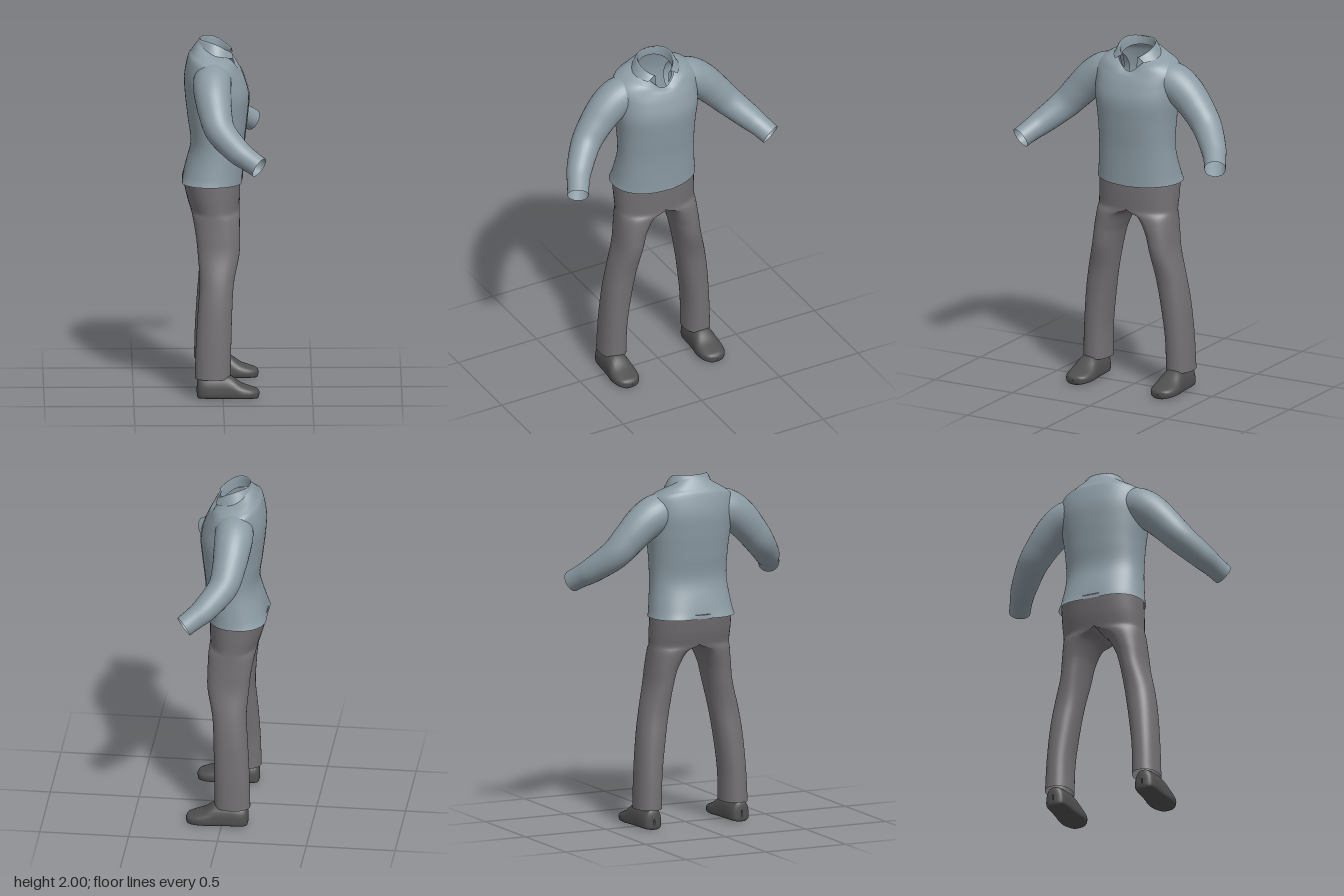
import * as THREE from 'three';
import { mergeVertices, mergeGeometries } from 'three/addons/utils/BufferGeometryUtils.js';

const V = (x, y, z) => new THREE.Vector3(x, y, z);

// Smoothly interpolates a table of cross-sections, t from 0 to 1
function sample(rows, t) {
  const f = t * (rows.length - 1);
  const i = Math.min(Math.floor(f), rows.length - 2);
  const s = f - i;
  const p = [rows[Math.max(i - 1, 0)], rows[i], rows[i + 1], rows[Math.min(i + 2, rows.length - 1)]];
  return rows[0].map((_, c) => {
    const [a, b, d, e] = p.map((r) => r[c]);
    return 0.5 * (2 * b + (d - a) * s + (2 * a - 5 * b + 4 * d - e) * s * s + (3 * b - a - 3 * d + e) * s * s * s);
  });
}

// Builds a smooth skin from a rule fn(u, v) -> point
function skin(nu, nv, fn, flip = false) {
  const pos = [], idx = [];
  for (let j = 0; j <= nv; j++) {
    for (let i = 0; i <= nu; i++) pos.push(...fn(i / nu, j / nv).toArray());
  }
  for (let j = 0; j < nv; j++) {
    for (let i = 0; i < nu; i++) {
      const a = j * (nu + 1) + i, b = a + 1, c = a + nu + 1, d = c + 1;
      if (flip) idx.push(a, c, b, b, c, d);
      else idx.push(a, b, c, b, d, c);
    }
  }
  const g = new THREE.BufferGeometry();
  g.setAttribute('position', new THREE.Float32BufferAttribute(pos, 3));
  g.setIndex(idx);
  return g;
}

function weld(g) {
  const m = mergeVertices(g, 1e-5);
  m.computeVertexNormals();
  return m;
}

// Rounded curve that is slightly squarer than a circle
const pow = (v, e) => Math.sign(v) * Math.pow(Math.abs(v), e);

// Shirt body rings: height, back x, front x, half width, front drop, neck notch
const TORSO = [
  [1.195, -0.25, 0.11, 0.25, 0, 0],
  [1.25, -0.225, 0.112, 0.24, 0, 0],
  [1.4, -0.18, 0.12, 0.225, 0, 0],
  [1.55, -0.195, 0.137, 0.23, 0, 0],
  [1.68, -0.21, 0.147, 0.245, 0, 0],
  [1.78, -0.215, 0.125, 0.25, 0.01, 0],
  [1.86, -0.195, 0.1, 0.245, 0.035, 0],
  [1.9, -0.175, 0.088, 0.2, 0.03, 0.035],
  [1.925, -0.15, 0.078, 0.14, 0.045, 0.04],
  [1.94, -0.125, 0.068, 0.1, 0.06, 0.035],
];

function torsoPoint(a, t, out = 0) {
  const [y, xb, xf, hz, drop, notch] = sample(TORSO, t);
  const c = Math.cos(a), s = Math.sin(a);
  const hem = Math.max(0, 1 - t * 6);
  const fold = 0.025 * hem * Math.pow(Math.max(0, -c), 10);
  return V(
    (xb + xf) / 2 + ((xf - xb) / 2 + out) * pow(c, 0.88) + fold,
    y - drop * c - notch * Math.pow(Math.max(0, c), 8) - 0.01 * hem * c * c * Math.max(0, c),
    (hz + out) * pow(s, 0.88),
  );
}

// Sleeve rings: x, y, z, radius
const SLEEVE = [
  [-0.05, 1.8, 0.13, 0.1],
  [-0.06, 1.785, 0.215, 0.108],
  [-0.057, 1.735, 0.295, 0.104],
  [-0.045, 1.655, 0.375, 0.094],
  [-0.015, 1.565, 0.455, 0.084],
  [0.075, 1.475, 0.545, 0.072],
  [0.14, 1.432, 0.588, 0.063],
  [0.2, 1.395, 0.622, 0.06],
];

function sleevePoint(u, t, side) {
  const e = 0.01;
  const p = sample(SLEEVE, t);
  const d0 = sample(SLEEVE, Math.max(0, t - e)), d1 = sample(SLEEVE, Math.min(1, t + e));
  const tan = V(d1[0] - d0[0], d1[1] - d0[1], d1[2] - d0[2]).normalize();
  const across = V().crossVectors(tan, V(0, 1, 0)).normalize();
  const up = V().crossVectors(across, tan);
  const a = u * Math.PI * 2;
  const q = V(p[0], p[1], p[2]).addScaledVector(across, p[3] * Math.cos(a)).addScaledVector(up, p[3] * Math.sin(a));
  q.z *= side;
  if (side < 0) q.x -= 0.025 * t * t;
  return q;
}

// Trouser rings: height, back x, front x, inner z, outer z, pelvis blend
const LEG = [
  [1.22, -0.225, 0.1, 0, 0.24, 1],
  [1.12, -0.205, 0.098, 0, 0.24, 1],
  [1.045, -0.183, 0.095, 0, 0.238, 1],
  [1.0, -0.168, 0.095, 0.045, 0.24, 0.25],
  [0.9, -0.15, 0.095, 0.085, 0.248, 0],
  [0.8, -0.14, 0.092, 0.11, 0.26, 0],
  [0.65, -0.13, 0.062, 0.137, 0.297, 0],
  [0.5, -0.14, 0.052, 0.162, 0.32, 0],
  [0.3, -0.152, 0.046, 0.188, 0.335, 0],
  [0.115, -0.157, 0.042, 0.192, 0.343, 0],
];

function legPoint(u, t, side) {
  const r = sample(LEG, Math.max(0, t));
  const k = THREE.MathUtils.clamp(r[5], 0, 1);
  const a = u * Math.PI * 2, c = pow(Math.cos(a), 0.9), s = pow(Math.sin(a), 0.9);
  const zin = Math.max(0, r[3]);
  const round = (zin + r[4]) / 2 + ((r[4] - zin) / 2) * s;
  const half = Math.max(0, s) * r[4];
  const x = (r[1] + r[2]) / 2 + ((r[2] - r[1]) / 2) * c;
  return V(x, r[0], side * THREE.MathUtils.lerp(round, half, k));
}

// Shoe sections: x, half width, top height
const SHOE = [
  [-0.147, 0.002, 0.07],
  [-0.138, 0.043, 0.115],
  [-0.1, 0.06, 0.128],
  [-0.02, 0.065, 0.138],
  [0.04, 0.07, 0.132],
  [0.1, 0.078, 0.09],
  [0.155, 0.071, 0.068],
  [0.192, 0.046, 0.055],
  [0.205, 0.002, 0.035],
];

function shoePoint(u, t) {
  const [x, hz, top] = sample(SHOE, t);
  const a = u * Math.PI * 2, s = Math.sin(a);
  const mid = 0.035;
  const y = s > 0 ? mid + (top - mid) * pow(s, 0.8) : mid + (mid - 0.003) * pow(s, 0.5) * Math.min(1, hz / 0.04);
  return V(x, y, Math.max(0, hz) * pow(Math.cos(a), 0.85));
}

// Folded collar: inner stand, top crease, then the leaf turned outwards
function collarPoint(u, v) {
  const t = u * 2 - 1;
  const ring = (span, rx, rz, y0, y1, y2) => {
    const a = Math.PI + t * span, c = Math.cos(a);
    return V(-0.035 + rx * c, y0 - y1 * c - y2 * c * c, rz * Math.sin(a));
  };
  const rows = [
    ring(2.75, 0.09, 0.098, 1.915, 0.05, 0.015),
    ring(2.7, 0.089, 0.1, 1.975, 0.04, 0.025),
    ring(2.68, 0.094, 0.106, 1.985, 0.04, 0.025),
    ring(2.62, 0.102, 0.114, 1.977, 0.035, 0.025),
    ring(2.42, 0.122, 0.14, 1.925, 0.025, 0.005),
  ];
  return rows[Math.round(v * 4)];
}

export function createModel() {
  const material = (name, color) => {
    const m = new THREE.MeshStandardMaterial({ color, side: THREE.DoubleSide });
    m.name = name;
    return m;
  };
  const shirtCloth = material('blueGreyShirt', 0x8c9ba4);
  const trouserCloth = material('greyTrousers', 0x737074);
  const shoeLeather = material('darkShoes', 0x4f4f50);

  const model = new THREE.Group();
  model.name = 'clothedFigure';
  const add = (name, geometry, mat) => {
    const mesh = new THREE.Mesh(weld(geometry), mat);
    mesh.name = name;
    model.add(mesh);
    return mesh;
  };

  // Shirt
  add('shirtBody', skin(64, 54, (u, v) => torsoPoint(u * Math.PI * 2, v), true), shirtCloth);
  add('buttonPlacket', skin(4, 40, (u, v) => torsoPoint(-0.16 + u * 0.16, v * 0.72, 0.004)), shirtCloth);
  add('collar', skin(48, 4, collarPoint), shirtCloth);

  // Trousers: two legs welded along the pelvis, closed inside the shirt
  const halves = [1, -1].flatMap((side) => [
    skin(40, 54, (u, v) => legPoint(u, v, side), side < 0),
    skin(40, 1, (u, v) => legPoint(u, 0, side).lerp(V(-0.06, 1.235, 0), 1 - v), side < 0),
  ]);
  add('trousers', mergeGeometries(halves), trouserCloth);

  // Sleeves and shoes
  for (const side of [1, -1]) {
    const label = side > 0 ? 'right' : 'left';
    add(label + 'Sleeve', skin(28, 42, (u, v) => sleevePoint(u, v, side), side < 0), shirtCloth);
    add(label + 'Shoe', skin(28, 32, shoePoint), shoeLeather).position.z = side > 0 ? 0.28 : -0.267;
  }
  return model;
}
